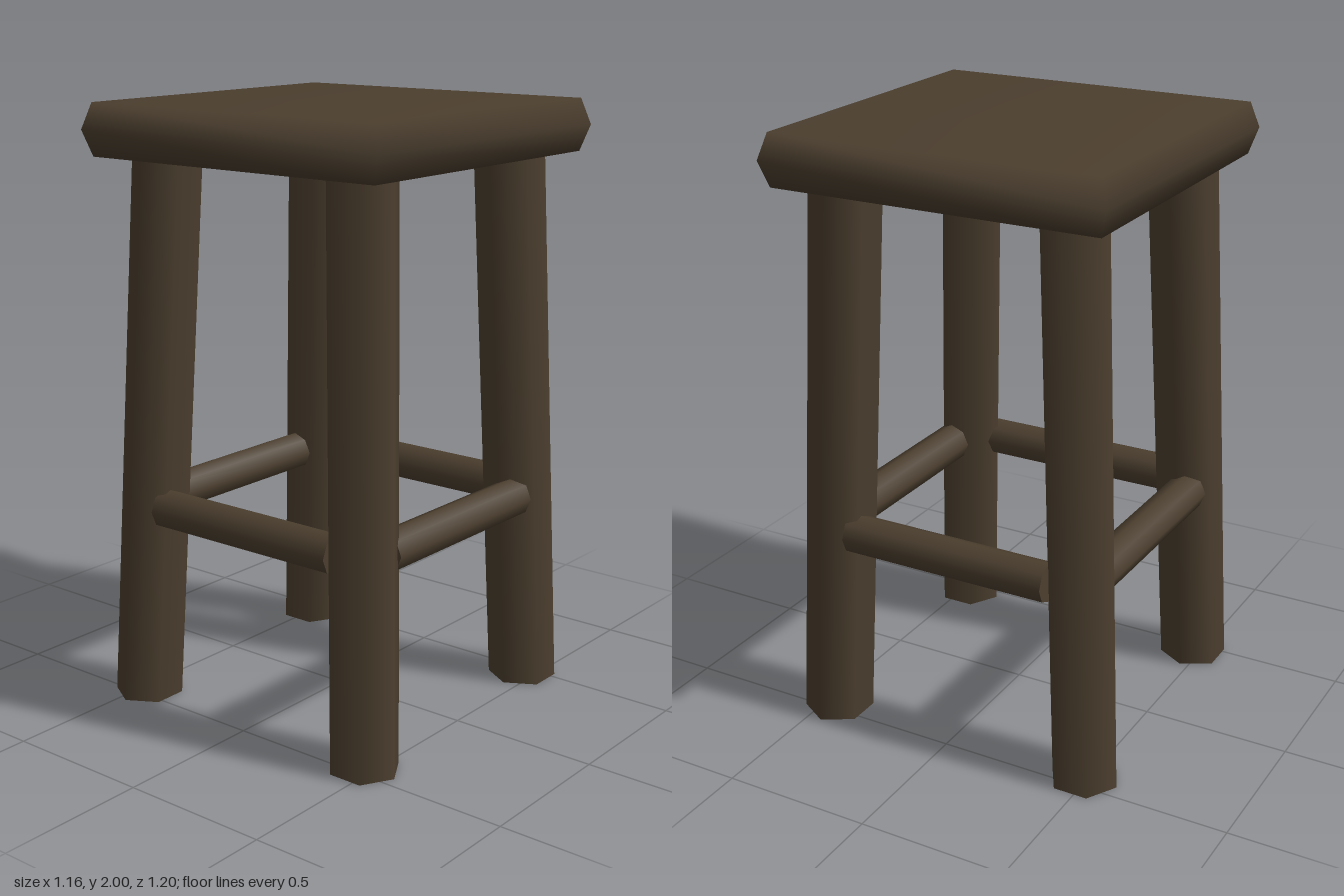
import * as THREE from 'three';

export function createModel() {
  const model = new THREE.Group();
  const wood = new THREE.MeshStandardMaterial({ color: 0x4b3e2e });
  wood.name = 'darkWood';

  const add = (geometry, name) => {
    const mesh = new THREE.Mesh(geometry, wood);
    mesh.name = name;
    model.add(mesh);
    return mesh;
  };

  // Seat: a four-sided slab with a bevelled rim, slightly out of square
  const profile = [[0, 1.83], [0.553, 1.83], [0.578, 1.915], [0.553, 2], [0, 2]]
    .map(([half, y]) => new THREE.Vector2(half * Math.SQRT2, y));
  const seat = new THREE.LatheGeometry(profile, 4, Math.PI / 4);
  const p = seat.attributes.position;
  for (let i = 0; i < p.count; i++) {
    const x = p.getX(i);
    p.setX(i, x - 0.007);
    p.setZ(i, p.getZ(i) * 1.012 + 0.0075 - 0.0125 * x);
  }
  add(seat, 'seat');

  // Legs: splayed six-sided posts, cut level with the floor
  const legHeight = 1.86;
  const legs = [
    ['frontLeftLeg', [0.465, 0.45], [0.375, 0.40], true],
    ['backLeftLeg', [0.45, -0.487], [0.37, -0.385], false],
    ['backRightLeg', [-0.46, -0.47], [-0.385, -0.39], true],
    ['frontRightLeg', [-0.46, 0.47], [-0.39, 0.40], false],
  ];
  for (const [name, foot, top, turned] of legs) {
    const leg = new THREE.CylinderGeometry(0.115, 0.115, legHeight, 6);
    if (turned) leg.rotateY(Math.PI / 2);
    leg.translate(0, legHeight / 2, 0);
    // Shear the upright post from foot to top
    const shear = new THREE.Matrix4().set(
      1, (top[0] - foot[0]) / legHeight, 0, foot[0],
      0, 1, 0, 0,
      0, (top[1] - foot[1]) / legHeight, 1, foot[1],
      0, 0, 0, 1);
    add(leg.applyMatrix4(shear), name);
  }

  // Rails: one thin rung between each pair of legs
  ['frontRail', 'leftRail', 'backRail', 'rightRail'].forEach((name, i) => {
    const rail = new THREE.CylinderGeometry(0.066, 0.066, 0.725, 8);
    rail.rotateZ(Math.PI / 2);
    rail.translate(0, 0.68, 0.465);
    rail.rotateY(i * Math.PI / 2);
    add(rail, name);
  });

  return model;
}
